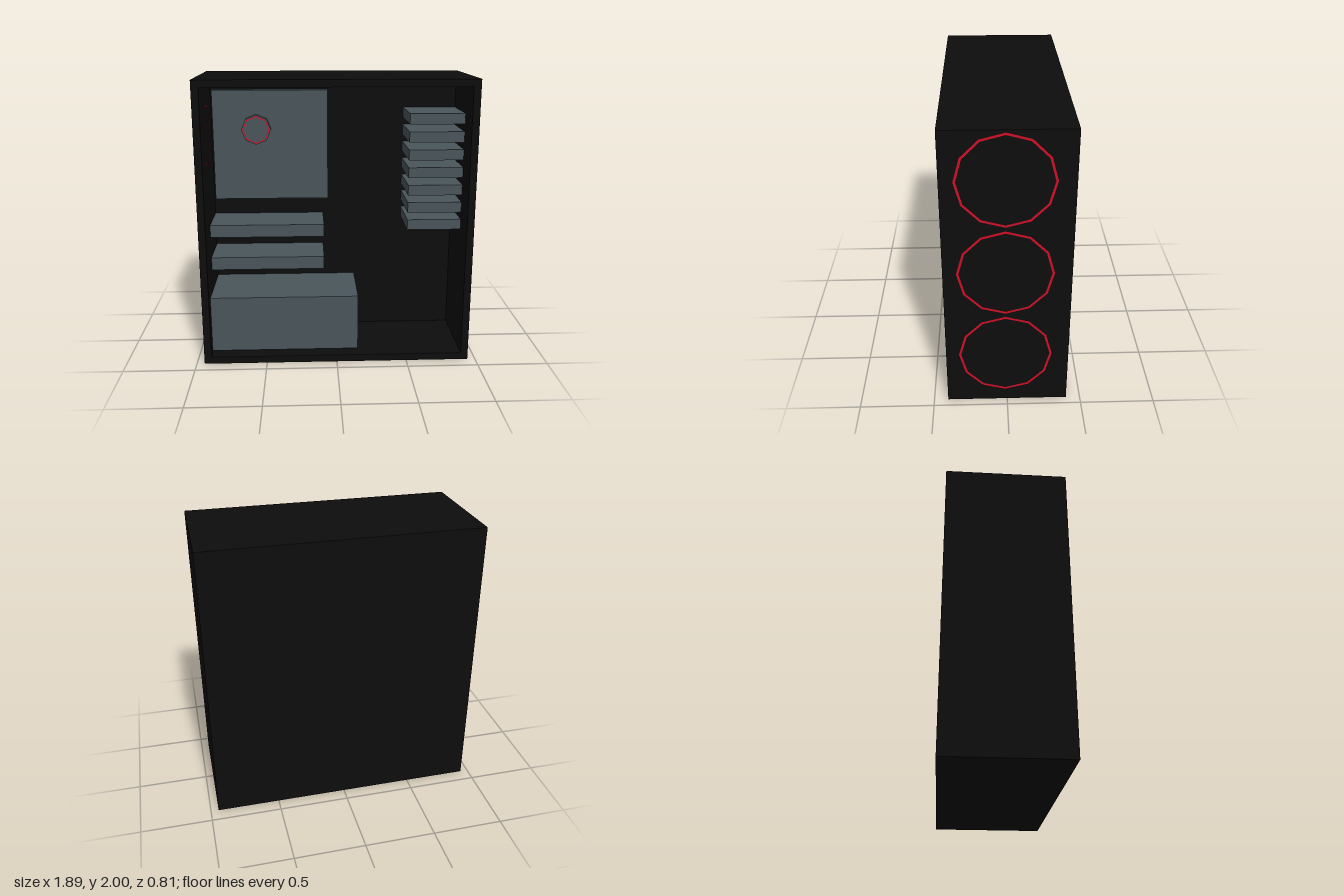
import * as THREE from 'three';

const black = new THREE.MeshStandardMaterial({ name: 'caseBlack', color: 0x0d0d0d });
const grey = new THREE.MeshStandardMaterial({ name: 'componentGrey', color: 0x4a565b });
const red = new THREE.MeshStandardMaterial({ name: 'ringRed', color: 0xd20f26 });

// Box given by its limits on each axis
function box(name, material, [x0, x1], [y0, y1], [z0, z1]) {
  const mesh = new THREE.Mesh(new THREE.BoxGeometry(x1 - x0, y1 - y0, z1 - z0), material);
  mesh.name = name;
  mesh.position.set((x0 + x1) / 2, (y0 + y1) / 2, (z0 + z1) / 2);
  return mesh;
}

// Thin flat ring facing +z
function ring(name, radius, width, sides) {
  const mesh = new THREE.Mesh(new THREE.RingGeometry(radius - width, radius, sides), red);
  mesh.name = name;
  return mesh;
}

export function createModel() {
  const model = new THREE.Group();
  model.name = 'computerTower';

  const X = 0.945, Z = 0.405, WALL = 0.05, TRAY = -0.17;

  // Case shell, open at the front
  const shell = new THREE.Shape([
    new THREE.Vector2(-X, 0), new THREE.Vector2(X, 0),
    new THREE.Vector2(X, 2), new THREE.Vector2(-X, 2),
  ]);
  shell.holes.push(new THREE.Path([
    new THREE.Vector2(-X + WALL, WALL), new THREE.Vector2(-X + WALL, 2 - WALL),
    new THREE.Vector2(X - WALL, 2 - WALL), new THREE.Vector2(X - WALL, WALL),
  ]));
  const frame = new THREE.Mesh(
    new THREE.ExtrudeGeometry(shell, { depth: 2 * Z, bevelEnabled: false }), black);
  frame.name = 'caseFrame';
  frame.position.z = -Z;
  model.add(frame);
  model.add(box('backTray', black, [-X + WALL, X - WALL], [WALL, 2 - WALL], [-Z, TRAY]));

  // Main board, expansion cards and power supply
  model.add(box('mainBoard', grey, [-0.88, -0.047], [1.085, 1.885], [TRAY, -0.107]));
  model.add(box('upperCard', grey, [-0.895, -0.083], [0.867, 0.957], [TRAY, 0.165]));
  model.add(box('lowerCard', grey, [-0.895, -0.083], [0.623, 0.715], [TRAY, 0.165]));
  model.add(box('powerSupply', grey, [-0.895, 0.155], [0.06, 0.465], [TRAY, 0.32]));

  // Stack of drives
  for (let i = 0; i < 7; i++) {
    const y = 0.96 + i * 0.1257;
    model.add(box('drive', grey, [0.51, 0.892], [y - 0.037, y + 0.037], [TRAY, 0.21]));
  }

  // Processor cooler with a red ring on its face
  const cooler = new THREE.Group();
  cooler.name = 'cooler';
  cooler.position.set(-0.565, 1.605, 0);
  const coolerBody = new THREE.Mesh(
    new THREE.CylinderGeometry(0.108, 0.108, 0.05, 8).toNonIndexed(), grey);
  coolerBody.geometry.computeVertexNormals();
  coolerBody.name = 'coolerBody';
  coolerBody.rotation.x = Math.PI / 2;
  coolerBody.position.z = -0.086;
  const coolerRing = ring('coolerRing', 0.1, 0.008, 8);
  coolerRing.position.z = -0.058;
  cooler.add(coolerBody, coolerRing);
  model.add(cooler);

  // Three large fan rings on the outside of the left wall
  for (let i = 0; i < 3; i++) {
    const fan = ring('sideFanRing', 0.307, 0.015, 12);
    fan.rotation.y = Math.PI / 2;
    fan.position.set(X + 0.003, 0.397 + i * 0.64, 0.013);
    model.add(fan);
  }

  // Smaller fan ring inside the right wall
  const rearFan = ring('exhaustFanRing', 0.212, 0.01, 12);
  rearFan.rotation.y = Math.PI / 2;
  rearFan.position.set(-X + WALL + 0.003, 1.6, 0.135);
  model.add(rearFan);

  return model;
}
